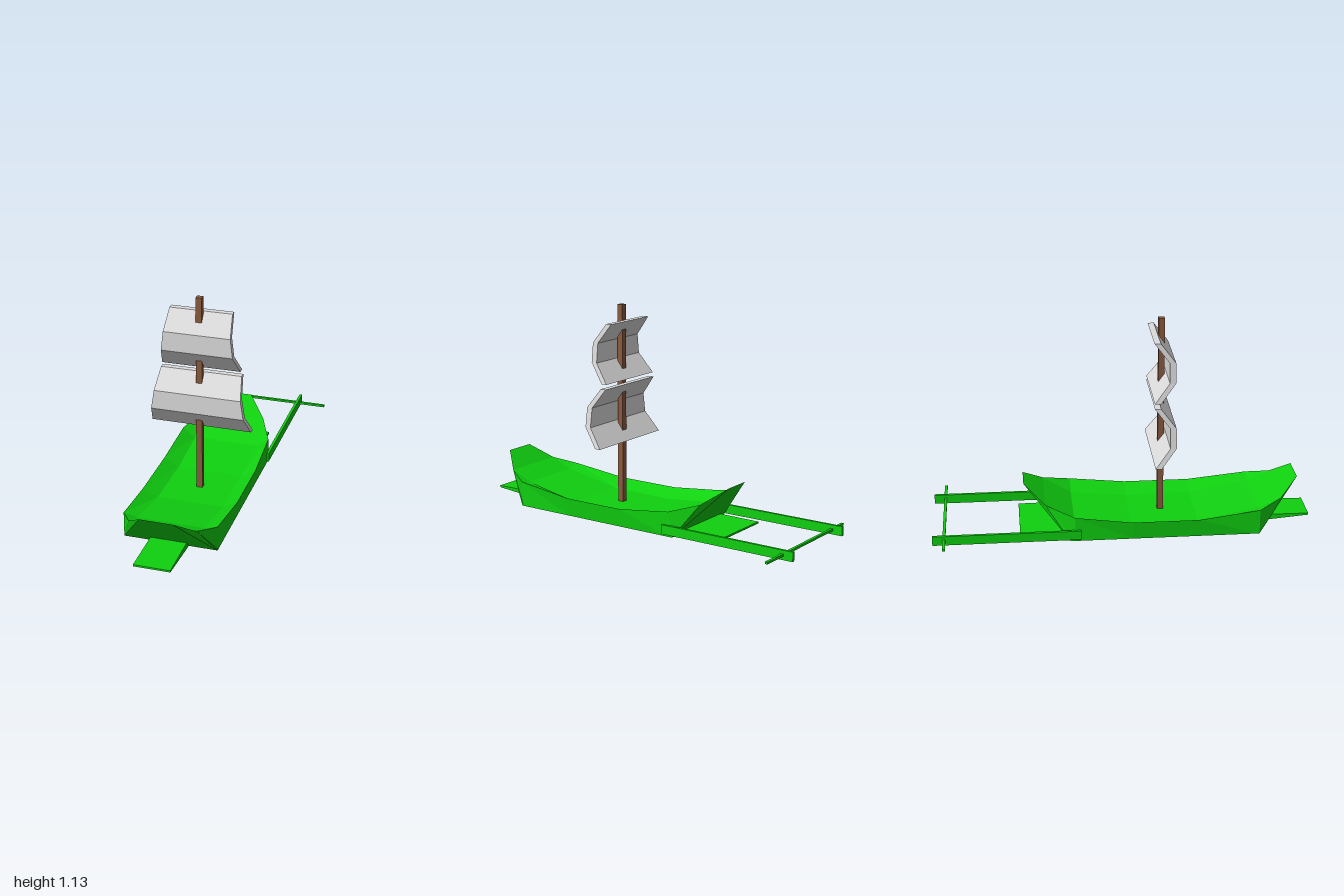
import * as THREE from 'three';

const CX = -0.025; // hull centreline

// Skin a list of rings (equal point counts) and cap both ends
function loft(rings, material, name) {
  const n = rings[0].length, last = rings.length - 1, pos = [];
  const tri = (a, b, c) => pos.push(...a, ...b, ...c);
  for (let s = 0; s < last; s++) {
    for (let i = 0; i < n; i++) {
      const j = (i + 1) % n;
      tri(rings[s][i], rings[s][j], rings[s + 1][j]);
      tri(rings[s][i], rings[s + 1][j], rings[s + 1][i]);
    }
  }
  for (let k = 1; k < n - 1; k++) {
    tri(rings[0][0], rings[0][k + 1], rings[0][k]);
    tri(rings[last][0], rings[last][k], rings[last][k + 1]);
  }
  const geo = new THREE.BufferGeometry();
  geo.setAttribute('position', new THREE.Float32BufferAttribute(pos, 3));
  geo.computeVertexNormals();
  const mesh = new THREE.Mesh(geo, material);
  mesh.name = name;
  return mesh;
}

function box(w, h, d, x, y, z, material, name) {
  const mesh = new THREE.Mesh(new THREE.BoxGeometry(w, h, d), material);
  mesh.position.set(x, y, z);
  mesh.name = name;
  return mesh;
}

export function createModel() {
  const green = new THREE.MeshStandardMaterial({ name: 'hull green', color: 0x10d010 });
  const brown = new THREE.MeshStandardMaterial({ name: 'mast brown', color: 0x8b5a3f });
  const grey = new THREE.MeshStandardMaterial({ name: 'sail grey', color: 0xdcdcdc });
  for (const m of [green, brown, grey]) m.flatShading = true;

  const ship = new THREE.Group();
  ship.name = 'sailingShip';

  // Hull stations, bow to stern: rim z, rim half width, rim y, bottom z, deck half width, deck y
  const stations = [
    [0.93, 0.085, 0.25, 0.71, 0.085, 0.25],
    [0.83, 0.175, 0.17, 0.71, 0.175, 0.17],
    [0.71, 0.245, 0.137, 0.70, 0.175, 0.12],
    [0.39, 0.255, 0.1, 0.39, 0.175, 0.06],
    [0.04, 0.255, 0.1, 0.04, 0.175, 0.055],
    [-0.26, 0.245, 0.135, -0.26, 0.175, 0.085],
    [-0.41, 0.175, 0.18, -0.285, 0.175, 0.18],
    [-0.52, 0.075, 0.262, -0.285, 0.075, 0.262],
  ];
  ship.add(loft(stations.map(([z, hw, y, zb, dw, dy]) => [
    [CX - 0.245, 0.002, zb], [CX - hw, y, z], [CX - dw, dy, z],
    [CX + dw, dy, z], [CX + hw, y, z], [CX + 0.245, 0.002, zb],
  ]), green, 'hull'));

  // Flat wedge plates jutting from the waterline at bow and stern
  const wedge = (hw, sections, name) => ship.add(loft(sections.map(([z, lo, hi]) => [
    [CX - hw, lo, z], [CX - hw, hi, z], [CX + hw, hi, z], [CX + hw, lo, z],
  ]), green, name));
  wedge(0.095, [[1.0, 0.025, 0.035], [0.7, 0, 0.038]], 'bowRam');
  wedge(0.175, [[-0.25, 0, 0.03], [-0.545, 0.018, 0.028]], 'sternPlate');

  // Two trailing arms and the bar across them
  for (const s of [-1, 1]) {
    ship.add(box(0.015, 0.05, 0.77, CX + s * 0.25, 0.039, -0.615, green, s > 0 ? 'leftArm' : 'rightArm'));
  }
  ship.add(box(0.765, 0.012, 0.015, -0.002, 0.039, -0.94, green, 'crossBar'));

  // Mast
  ship.add(box(0.032, 1.08, 0.032, CX, 0.59, 0.208, brown, 'mast'));

  // Bent sails: half widths from foot to head, billowing forward in the middle
  const billow = [0.17, 0.248, 0.248, 0.17];
  const sail = (foot, height, widths, name) => ship.add(loft(widths.map((hw, i) => {
    const y = foot + height * i / 3, f = billow[i] + 0.016, b = billow[i] - 0.016;
    return [[CX - hw, y, b], [CX - hw, y, f], [CX + hw, y, f], [CX + hw, y, b]];
  }), grey, name));
  sail(0.403, 0.31, [0.267, 0.246, 0.23, 0.215], 'lowerSail');
  sail(0.738, 0.31, [0.208, 0.188, 0.176, 0.165], 'upperSail');

  return ship;
}
